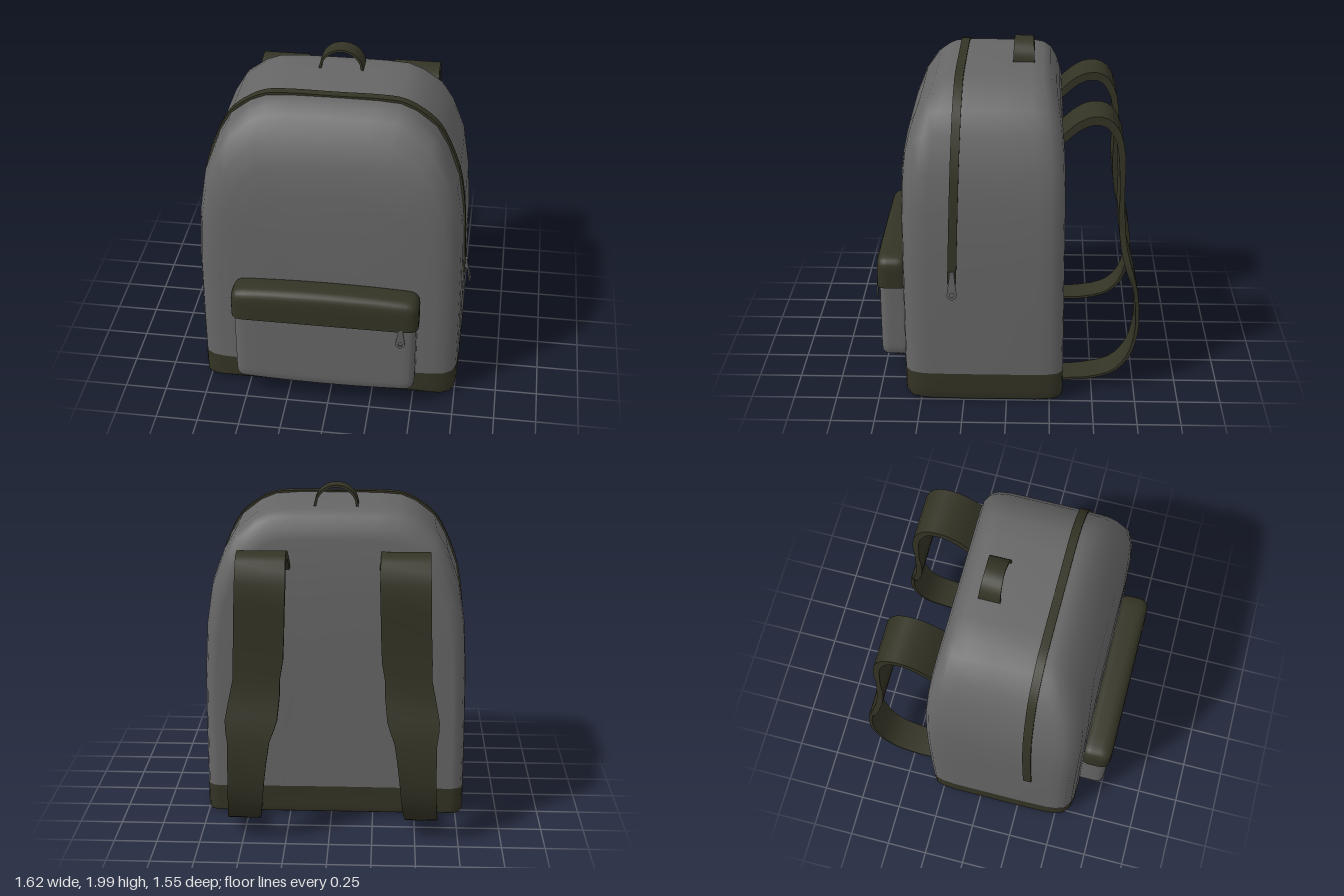
import * as THREE from 'three';
import { toCreasedNormals } from 'three/addons/utils/BufferGeometryUtils.js';

const mat = (name, color) => Object.assign(new THREE.MeshStandardMaterial({ color }), { name });
const V = (x, y, z) => new THREE.Vector3(x, y, z);

function geometryFrom(pos, idx) {
  const g = new THREE.BufferGeometry();
  g.setAttribute('position', new THREE.Float32BufferAttribute(pos, 3));
  g.setIndex(idx);
  return g;
}

const SPLIT = 0.185; // height where the dark base meets the grey fabric

// Right half of the arched outline, from the bottom centre to the top centre
const ARCH = [[0, .01], [.4, .01], [.7, .01], [.765, .013], [.778, .03], [.78, .08], [.78, SPLIT],
  [.78, .5], [.776, .9], [.76, 1.2], [.725, 1.43], [.655, 1.62], [.585, 1.74], [.47, 1.83],
  [.38, 1.868], [.25, 1.878], [0, 1.88]];

// Body: the arch swept from front to back, inset at both ends and leaning in at the top
function bodyGeometry() {
  const loop = [...ARCH, ...ARCH.slice(1, -1).reverse().map(([x, y]) => [-x, y])];
  const rings = [[.6, 0], [.603, .25], [.604, .5], [.604, .7], [.6, .82], [.588, .9], [.555, .963], [.5, .986],
    [.44, .996], [.25, 1], [0, 1], [-.17, 1], [-.25, .992], [-.295, .975], [-.32, .94],
    [-.328, .9], [-.328, .7], [-.324, .4], [-.322, 0]];
  const lean = y => 0.2 * Math.max(0, (y - 1.2) / 0.68) ** 3;
  const pos = [], base = [], fabric = [], n = loop.length;
  for (const [z, s] of rings) {
    for (const [x, y] of loop) {
      const py = SPLIT + (y - SPLIT) * s;
      const k = z > 0.2 ? (z - 0.2) / 0.4 : z < 0 ? z / 0.9 : 0;
      pos.push(x * s, py, z - lean(py) * k);
    }
  }
  for (let i = 0; i < rings.length - 1; i++) {
    for (let j = 0; j < n; j++) {
      const j2 = (j + 1) % n, a = i * n + j, b = i * n + j2, c = a + n, d = b + n;
      const out = Math.max(loop[j][1], loop[j2][1]) <= SPLIT ? base : fabric;
      if (i > 0) out.push(a, c, b);
      if (i < rings.length - 2) out.push(b, c, d);
      else out.push(...(i > 0 ? [] : [a, c, b]));
    }
  }
  const g = geometryFrom(pos, [...fabric, ...base]);
  g.addGroup(0, fabric.length, 0);
  g.addGroup(fabric.length, base.length, 1);
  g.computeVertexNormals();
  return g;
}

// Flat band along a path; sizes holds [half width, half thickness] for each point
function ribbon(points, sizes, across, steps) {
  const path = new THREE.CatmullRomCurve3(points);
  const size = new THREE.CatmullRomCurve3(sizes.map(([w, t]) => V(w, t, 0)));
  const pos = [], idx = [];
  for (let i = 0; i <= steps; i++) {
    const t = i / steps, p = path.getPoint(t), s = size.getPoint(t);
    const nrm = path.getTangent(t).cross(across).normalize();
    for (const [w, h] of [[1, 1], [-1, 1], [-1, -1], [1, -1]]) {
      const q = p.clone().addScaledVector(across, w * s.x).addScaledVector(nrm, h * s.y);
      pos.push(q.x, q.y, q.z);
    }
    if (i === steps) continue;
    for (let k = 0; k < 4; k++) {
      const a = i * 4 + k, b = i * 4 + (k + 1) % 4;
      idx.push(a, b, a + 4, b, b + 4, a + 4);
    }
  }
  const e = steps * 4;
  idx.push(0, 2, 1, 0, 3, 2, e, e + 1, e + 2, e, e + 2, e + 3);
  return toCreasedNormals(geometryFrom(pos, idx), 0.8);
}

// Soft box with rounded edges, bulged up and down in the middle, optionally cut flat below floorY
function softBox(w, h, d, r, bulge, cy, floorY = -1) {
  const g = new THREE.BoxGeometry(2, 2, 2, 18, 14, 12);
  const p = g.attributes.position, half = V(w / 2, h / 2, d / 2);
  const inner = half.clone().subScalar(r), v = V(0, 0, 0);
  for (let i = 0; i < p.count; i++) {
    v.fromBufferAttribute(p, i);
    for (const a of ['x', 'y', 'z']) v[a] = Math.sin(v[a] * Math.PI / 2) * half[a];
    const core = v.clone().clamp(inner.clone().negate(), inner);
    v.sub(core).normalize().multiplyScalar(r).add(core);
    v.y += bulge * (v.y / half.y) * (1 - (v.x / half.x) ** 2);
    p.setXYZ(i, v.x, Math.max(v.y + cy, floorY), v.z);
  }
  return toCreasedNormals(g, 0.8);
}

// Zip pull: tapered tab hanging from the origin, with a round hole
function pullGeometry(len) {
  const r = 0.028, s = new THREE.Shape();
  s.moveTo(.012, 0);
  s.lineTo(-.012, 0);
  s.lineTo(-r, r - len);
  s.absarc(0, r - len, r, Math.PI, Math.PI * 2, false);
  s.lineTo(.012, 0);
  const hole = new THREE.Path();
  hole.absarc(0, r - len, .013, 0, Math.PI * 2, true);
  s.holes.push(hole);
  return new THREE.ExtrudeGeometry(s, { depth: .008, bevelEnabled: false, curveSegments: 10 });
}

export function createModel() {
  const grey = mat('grey fabric', 0x666666);
  const dark = mat('dark olive trim', 0x333325);
  const metal = mat('zip metal', 0x5c5c5c);
  const group = new THREE.Group();
  group.name = 'backpack';
  group.position.x = -0.02;
  const add = (name, geo, material, x = 0, y = 0, z = 0) => {
    const m = new THREE.Mesh(geo, material);
    m.name = name;
    m.position.set(x, y, z);
    group.add(m);
    return m;
  };

  add('body', bodyGeometry(), [grey, dark]);

  // Front pocket and its flap
  add('frontPocket', softBox(1.07, .62, .19, .05, .018, .47), grey, 0, 0, .66);
  add('pocketFlap', softBox(1.1, .37, .19, .06, .018, .622, .62), dark, 0, 0, .675);

  // Main zip running over the arch
  const side = [[.78, .77], ...ARCH.slice(8, -1)];
  const zip = [...side, [0, 1.877], ...side.slice().reverse().map(([x, y]) => [-x, y])]
    .map(([x, y]) => V(x, y, .31 - .035 * Math.max(0, (y - .77) / 1.1)));
  add('mainZip', ribbon(zip, zip.map(() => [.025, .008]), V(0, 0, 1), 60), dark);

  // Zip pulls
  add('zipSlider', new THREE.BoxGeometry(.022, .06, .03), metal, .788, .82, .308);
  const pull = add('mainZipPull', pullGeometry(.15), metal, .79, .835, .308);
  pull.rotation.order = 'YXZ';
  pull.rotation.set(-.2, Math.PI / 2, 0);
  add('pocketZipPull', pullGeometry(.125), metal, .45, .635, .765).rotation.x = -.04;

  // Top carry handle
  const arc = [];
  for (let i = 0; i <= 8; i++) {
    const a = Math.PI * i / 8;
    arc.push(V(.124 * Math.cos(a), 1.87 + .122 * Math.sin(a), -.085));
  }
  add('topHandle', ribbon(arc, arc.map((p, i) => [.054 + .009 * Math.abs(i - 4) / 4, .007]),
    V(0, 0, 1), 16), dark);

  // Shoulder straps: [offset from the middle, y, z, half width, half thickness]
  const strap = [
    [.405, 1.555, -.31, .145, .02], [.405, 1.62, -.38, .142, .022], [.405, 1.66, -.45, .14, .024],
    [.405, 1.668, -.52, .14, .025], [.405, 1.64, -.58, .14, .024], [.405, 1.54, -.632, .142, .02],
    [.41, 1.38, -.65, .142, .018], [.42, 1.1, -.653, .142, .018], [.44, .9, -.672, .142, .018],
    [.46, .76, -.71, .148, .018], [.475, .64, -.745, .12, .012], [.49, .42, -.762, .105, .01],
    [.5, .27, -.735, .1, .009], [.51, .17, -.68, .097, .008], [.52, .11, -.6, .095, .007],
    [.525, .075, -.45, .093, .007], [.53, .068, -.3, .093, .007]];
  for (const [name, s] of [['leftStrap', 1], ['rightStrap', -1]]) {
    add(name, ribbon(strap.map(([x, y, z]) => V(s * x, y, z)),
      strap.map(([, , , w, t]) => [w, t]), V(1, 0, 0), 32), dark);
  }
  return group;
}
